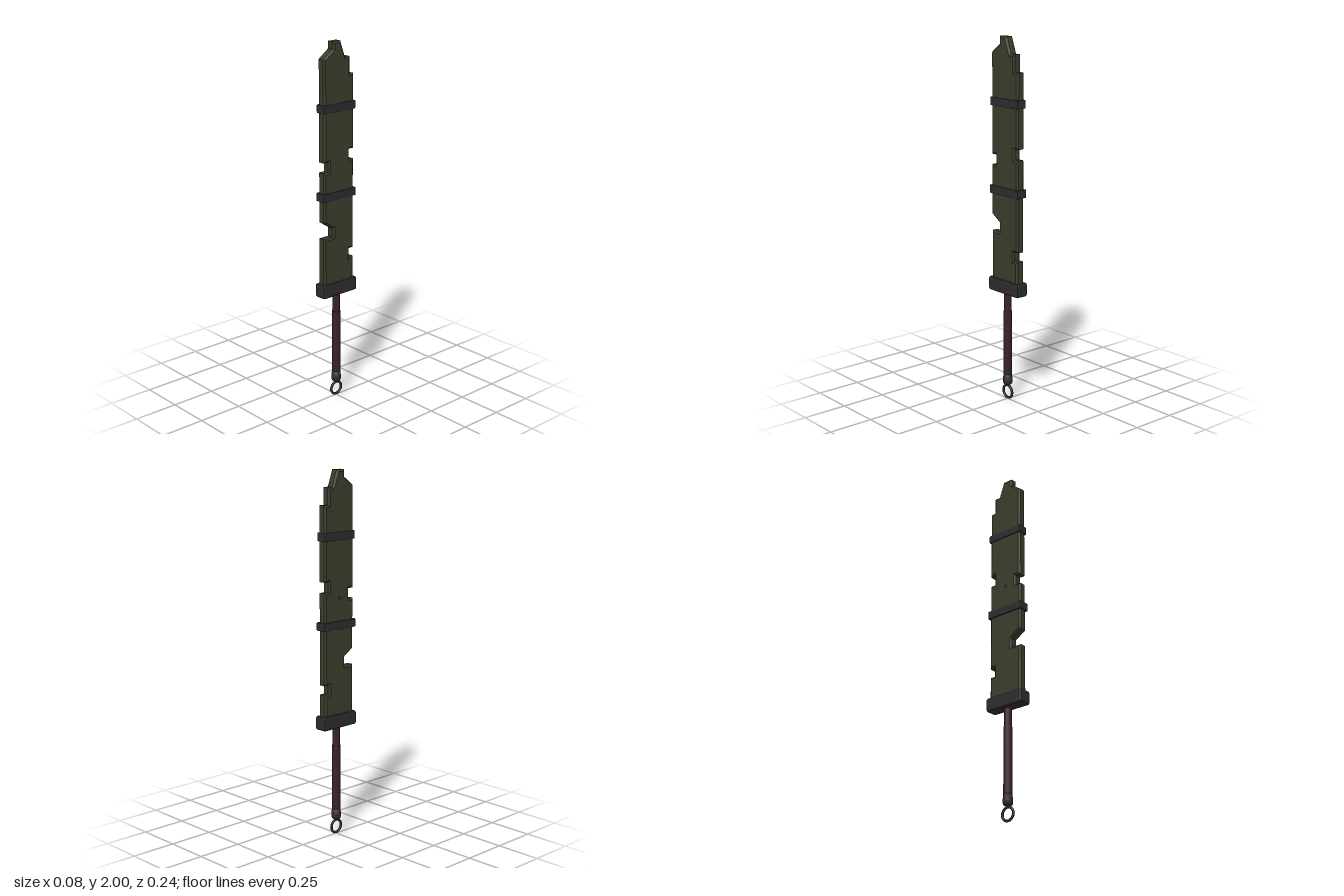
import * as THREE from 'three';
import { RoundedBoxGeometry } from 'three/addons/geometries/RoundedBoxGeometry.js';

const bladeMat = new THREE.MeshStandardMaterial({ color: 0x3b3b2b });
const metalMat = new THREE.MeshStandardMaterial({ color: 0x2c2c2e });
const gripMat = new THREE.MeshStandardMaterial({ color: 0x3a2124 });
bladeMat.name = 'olive steel';
metalMat.name = 'dark iron';
gripMat.name = 'brown leather';

// Blade outline as [z, y], from the front heel up over the tip and down the back
const OUTLINE = [
  [0.105, 0.66], [0.105, 0.95], [0.043, 0.95], [0.043, 1.0], [0.105, 1.04],
  [0.105, 1.315], [0.072, 1.315], [0.072, 1.37], [0.105, 1.37],
  [0.105, 1.915], [0.043, 1.96], [0.043, 2.0], [-0.013, 2.0],
  [-0.045, 1.912], [-0.077, 1.912], [-0.077, 1.82], [-0.105, 1.82],
  [-0.105, 1.418], [-0.075, 1.418], [-0.075, 1.36], [-0.105, 1.36],
  [-0.105, 0.86], [-0.075, 0.86], [-0.075, 0.81], [-0.105, 0.81], [-0.105, 0.66],
];

export function createModel() {
  const group = new THREE.Group();
  const add = (name, geometry, material, x = 0, y = 0, z = 0) => {
    const mesh = new THREE.Mesh(geometry, material);
    mesh.name = name;
    mesh.position.set(x, y, z);
    group.add(mesh);
    return mesh;
  };

  // Chamfered box with flat faces
  const chamferBox = (w, h, d, c) => {
    const g = new RoundedBoxGeometry(w, h, d, 1, c);
    const flat = g.index ? g.toNonIndexed() : g;
    flat.computeVertexNormals();
    return flat;
  };

  // Notched blade with bevelled edges
  const half = 0.026, bevel = 0.01;
  const shape = new THREE.Shape(OUTLINE.map(([z, y]) => new THREE.Vector2(z, y)));
  const depth = 2 * (half - bevel);
  const blade = new THREE.ExtrudeGeometry(shape, {
    depth, bevelEnabled: true, bevelThickness: bevel,
    bevelSize: bevel, bevelOffset: -bevel, bevelSegments: 1,
  });
  blade.translate(0, 0, -depth / 2).rotateY(-Math.PI / 2);
  add('blade', blade, bladeMat);

  // Small dent on the blade's right face
  const dent = new THREE.CylinderGeometry(0.011, 0.011, 0.004, 8).rotateZ(Math.PI / 2);
  add('bladeDent', dent, metalMat, -half, 1.325, 0.003);

  // Bands round the blade, and the guard
  add('upperBand', chamferBox(0.06, 0.045, 0.22, 0.004), metalMat, 0, 1.655, 0);
  add('lowerBand', chamferBox(0.063, 0.045, 0.23, 0.004), metalMat, 0, 1.18, 0);
  add('guard', chamferBox(0.075, 0.078, 0.242, 0.012), metalMat, 0, 0.652, 0);

  // Handle with a thicker wrapped grip
  add('handleCore', new THREE.CylinderGeometry(0.021, 0.021, 0.15, 16), gripMat, 0, 0.56, 0);
  add('grip', new THREE.CylinderGeometry(0.0235, 0.0235, 0.38, 16), gripMat, 0, 0.32, 0);

  // Pommel and ring
  const pommel = [[0, 0.09], [0.023, 0.09], [0.027, 0.1], [0.027, 0.115], [0.0235, 0.147], [0, 0.147]];
  add('pommel', new THREE.LatheGeometry(pommel.map(([r, y]) => new THREE.Vector2(r, y)), 16), metalMat);
  const ring = new THREE.TorusGeometry(0.036, 0.007, 8, 28).rotateY(Math.PI / 2);
  add('pommelRing', ring, metalMat, 0, 0.043, 0).updateMatrix();

  return group;
}
